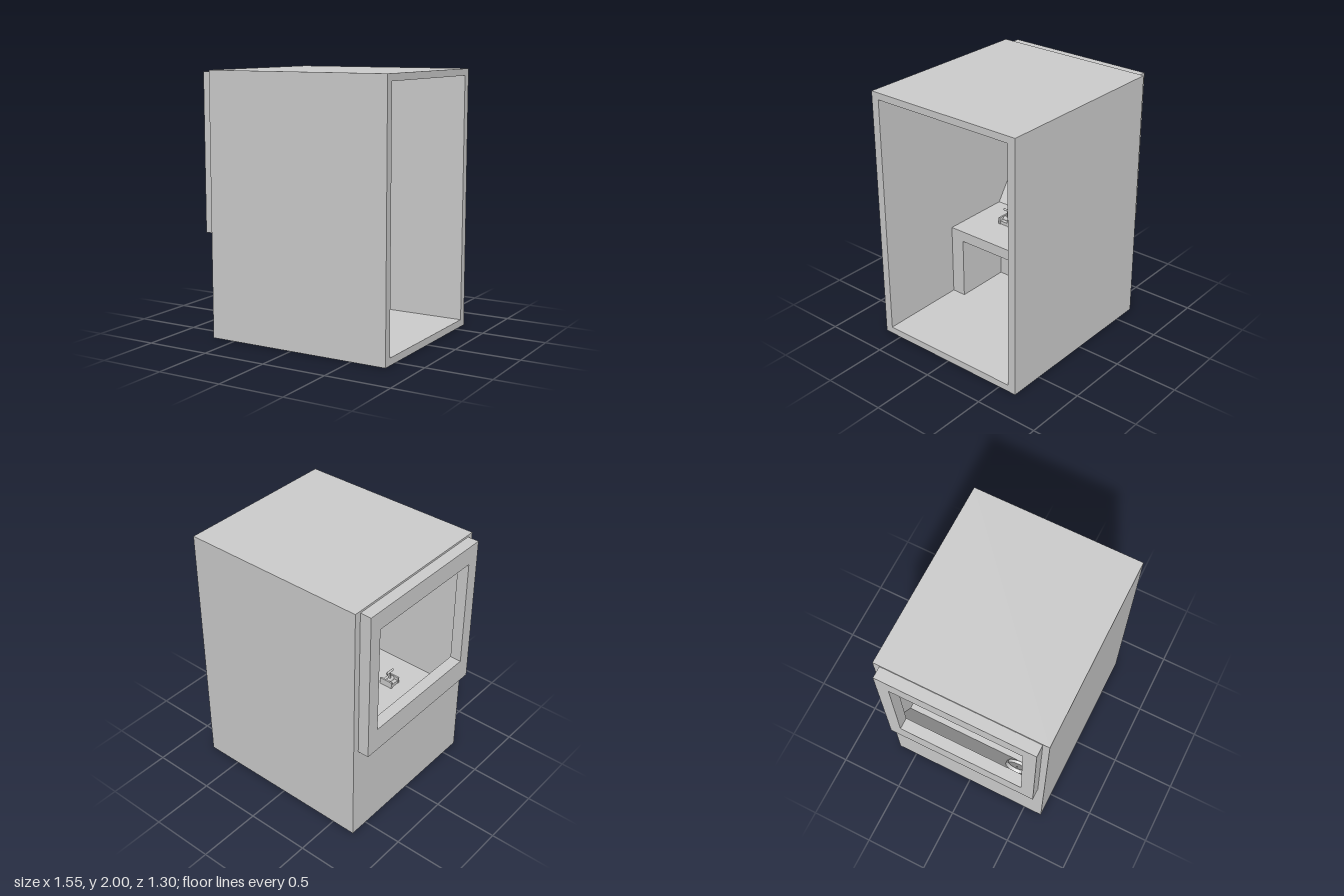
import * as THREE from 'three';

const material = new THREE.MeshStandardMaterial({ color: 0xcccccc, side: THREE.DoubleSide });

function add(parent, name, geometry, x = 0, y = 0, z = 0) {
  const mesh = new THREE.Mesh(geometry, material);
  mesh.name = name;
  mesh.position.set(x, y, z);
  parent.add(mesh);
  return mesh;
}

function extrude(shape, depth) {
  return new THREE.ExtrudeGeometry(shape, { depth, bevelEnabled: false });
}

function polygon(points) {
  return new THREE.Shape(points.map(([x, y]) => new THREE.Vector2(x, y)));
}

function rectangle(halfWidth, bottom, top) {
  return [[-halfWidth, bottom], [halfWidth, bottom], [halfWidth, top], [-halfWidth, top]];
}

// Rectangular frame in the z-y plane, running along x from x0 to x1
function frame(outer, inner, x0, x1) {
  const shape = polygon(outer);
  shape.holes.push(polygon(inner));
  return extrude(shape, x1 - x0).rotateY(Math.PI / 2).translate(x0, 0, 0);
}

function lathe(points, segments = 32) {
  return new THREE.LatheGeometry(points.map(([r, y]) => new THREE.Vector2(r, y)), segments);
}

function createConsole() {
  const desk = new THREE.Group();
  desk.name = 'controlDesk';
  const upper = [[0.065, 0.64], [-0.52, 0.64], [-0.69, 0.89]];
  const solid = polygon([[-0.69, 0.04], [0.065, 0.04], ...upper]);
  const notched = polygon([[-0.69, 0.04], [-0.4, 0.04], [-0.4, 0.553], [0.065, 0.553], ...upper]);
  // Side pedestals around an open knee space
  add(desk, 'leftPedestal', extrude(solid, 0.116), 0, 0, 0.471);
  add(desk, 'rightPedestal', extrude(solid, 0.116), 0, 0, -0.587);
  add(desk, 'deskCentre', extrude(notched, 0.942), 0, 0, -0.471);
  return desk;
}

function createGauge() {
  const gauge = new THREE.Group();
  gauge.name = 'gauge';
  // Raised rim around a recessed dial, with a centre pin
  add(gauge, 'gaugeRim', lathe([[0.09, -0.01], [0.09, 0.025], [0.087, 0.03], [0.08, 0.03], [0.077, 0.025], [0.077, 0.005]], 40));
  add(gauge, 'gaugeDial', new THREE.CylinderGeometry(0.078, 0.078, 0.01, 40), 0, 0.001, 0);
  add(gauge, 'gaugePin', new THREE.CylinderGeometry(0.003, 0.003, 0.012, 10), 0, 0.009, 0);
  // Lies on the sloped panel
  gauge.rotation.z = -Math.atan2(0.25, 0.17);
  gauge.position.set(-0.61, 0.768, 0.383);
  return gauge;
}

function createThrottle() {
  const throttle = new THREE.Group();
  throttle.name = 'throttle';
  // Two cheeks with a lower body between them
  for (const side of [-1, 1]) {
    add(throttle, 'throttleCheek', new THREE.BoxGeometry(0.11, 0.054, 0.014), 0, 0.027, side * 0.043);
  }
  add(throttle, 'throttleBody', new THREE.BoxGeometry(0.1, 0.026, 0.074), 0, 0.013, 0);
  add(throttle, 'throttlePivot', new THREE.CylinderGeometry(0.02, 0.02, 0.066, 20).rotateX(Math.PI / 2), 0, 0.032, 0);
  add(throttle, 'throttleStem', new THREE.CylinderGeometry(0.007, 0.009, 0.08, 16), 0, 0.075, 0);
  add(throttle, 'throttleHandle', new THREE.CylinderGeometry(0.009, 0.009, 0.08, 16).rotateX(Math.PI / 2), 0, 0.111, 0);
  throttle.position.set(-0.28, 0.64, 0.293);
  return throttle;
}

function createBrake() {
  const brake = new THREE.Group();
  brake.name = 'brakeValve';
  // Stepped round foot and hub
  add(brake, 'brakeBase', lathe([
    [0, 0], [0.122, 0], [0.122, 0.006], [0.088, 0.008], [0.085, 0.014], [0.055, 0.022],
    [0.03, 0.026], [0.028, 0.034], [0.014, 0.037], [0.014, 0.085], [0.017, 0.092],
    [0.013, 0.105], [0.007, 0.112], [0, 0.114]]));
  // Handle reaching sideways to a ball grip
  add(brake, 'brakeArm', new THREE.CylinderGeometry(0.009, 0.014, 0.205, 16).rotateX(Math.PI / 2), 0, 0.071, 0.105);
  add(brake, 'brakeBall', new THREE.SphereGeometry(0.025, 24, 16), 0, 0.071, 0.212);
  brake.position.set(-0.28, 0.64, -0.308);
  return brake;
}

export function createModel() {
  const model = new THREE.Group();
  model.name = 'driverCab';
  // Cab shell, open towards +x
  add(model, 'cabShell', frame(rectangle(0.65, 0, 2), rectangle(0.587, 0.055, 1.948), -0.69, 0.775));
  // Thick window surround closing the upper end
  add(model, 'windowFrame', frame(rectangle(0.6, 0.79, 1.985), rectangle(0.5, 0.98, 1.84), -0.778, -0.688));
  model.add(createConsole(), createGauge(), createThrottle(), createBrake());
  return model;
}
